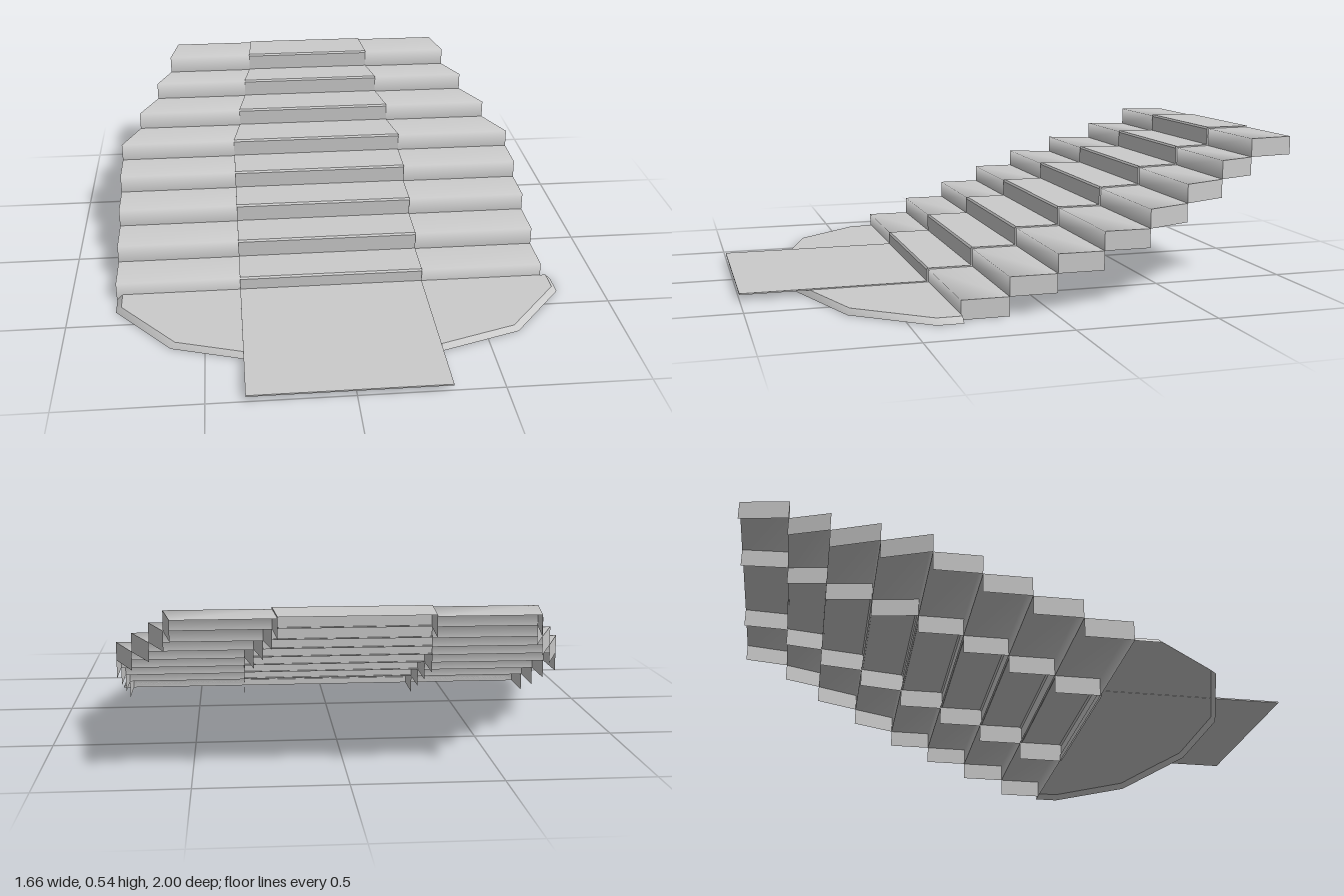
import * as THREE from 'three';
import { toCreasedNormals } from 'three/addons/utils/BufferGeometryUtils.js';

const material = new THREE.MeshStandardMaterial({ color: 0xcccccc, side: THREE.DoubleSide });

// Indexed surface with smooth normals
function surface(points, index) {
  const g = new THREE.BufferGeometry();
  g.setAttribute('position', new THREE.Float32BufferAttribute(points.flat(), 3));
  g.setIndex(index);
  g.computeVertexNormals();
  return g;
}

// Strip across the stairs; each section is [leftX, rightX, y, z]
function ribbon(sections) {
  const points = [], index = [];
  sections.forEach(([l, r, y, z], i) => {
    points.push([l, y, z], [r, y, z]);
    const a = 2 * i;
    if (i < sections.length - 1) index.push(a, a + 1, a + 3, a, a + 3, a + 2);
  });
  return surface(points, index);
}

// Upright side panel between a front and a back edge
function sidePanel(x0, z0, x1, z1, bottom, top) {
  return surface([[x0, bottom, z0], [x1, bottom, z1], [x1, top, z1], [x0, top, z0]], [0, 1, 2, 0, 2, 3]);
}

function add(parent, name, geometry) {
  const mesh = new THREE.Mesh(geometry, material);
  mesh.name = name;
  parent.add(mesh);
  return mesh;
}

export function createModel() {
  const model = new THREE.Group();
  model.name = 'staircase';

  // Plan of the stairs at each riser: z, half width, carpet half width
  const axis = -0.0225, rise = 0.0672;
  const plan = [
    [0.322, 0.807, 0.345], [0.155, 0.807, 0.345], [-0.014, 0.807, 0.345],
    [-0.18, 0.807, 0.345], [-0.346, 0.807, 0.345], [-0.515, 0.737, 0.315],
    [-0.683, 0.665, 0.286], [-0.827, 0.608, 0.26], [-1, 0.578, 0.248],
  ];

  for (let i = 0; i < 8; i++) {
    const step = new THREE.Group();
    step.name = `step${i + 1}`;
    model.add(step);
    const [z0, w0, c0] = plan[i], [z1, w1, c1] = plan[i + 1];
    const bottom = rise * i, top = rise * (i + 1);

    // Plain outer parts of the step with their end panels
    for (const s of [-1, 1]) {
      const side = s > 0 ? 'left' : 'right';
      const span = (w, c) => [axis + Math.min(s * w, s * c), axis + Math.max(s * w, s * c)];
      add(step, `${side}Tread`, ribbon([
        [...span(w0, c0), bottom, z0], [...span(w0, c0), top, z0], [...span(w1, c1), top, z1],
      ]));
      add(step, `${side}EndPanel`, sidePanel(axis + s * w0, z0, axis + s * w1, z1, bottom, top));
      add(step, `${side}CarpetEdge`, sidePanel(axis + s * c0, z0 + 0.006, axis + s * c1, z1, bottom, top + 0.005));
    }

    // Carpeted middle, slightly proud with a bevelled nosing
    const l = axis - c0, r = axis + c0;
    add(step, 'carpetTread', toCreasedNormals(ribbon([
      [l, r, bottom, z0 + 0.006], [l, r, top - 0.002, z0 + 0.006],
      [l, r, top + 0.005, z0], [axis - c1, axis + c1, top + 0.005, z1],
    ]), 0.5));
  }

  // Low landing with sloping edges, open underneath
  const half = [[0.827, 0.322], [0.827, 0.413], [0.62, 0.67], [0.2, 0.812]];
  const outline = [...half, ...half.map(([x, z]) => [-x, z]).reverse()];
  const n = outline.length, points = [], index = [];
  for (const [x, z] of outline) {
    points.push([x, 0, z], [x * 0.975, 0.02, 0.322 + (z - 0.322) * 0.97]);
  }
  points.push([0, 0.02, 0.5]);
  for (let i = 0; i < n; i++) {
    const a = 2 * i, b = 2 * ((i + 1) % n);
    index.push(a, a + 1, b + 1, a, b + 1, b, 2 * n, b + 1, a + 1);
  }
  add(model, 'landing', toCreasedNormals(surface(points, index), 0.5));

  // Carpet runner in front of the stairs
  const runner = add(model, 'carpetRunner', new THREE.BoxGeometry(0.69, 0.005, 0.678));
  runner.position.set(axis, 0.0215, 0.661);

  return model;
}
